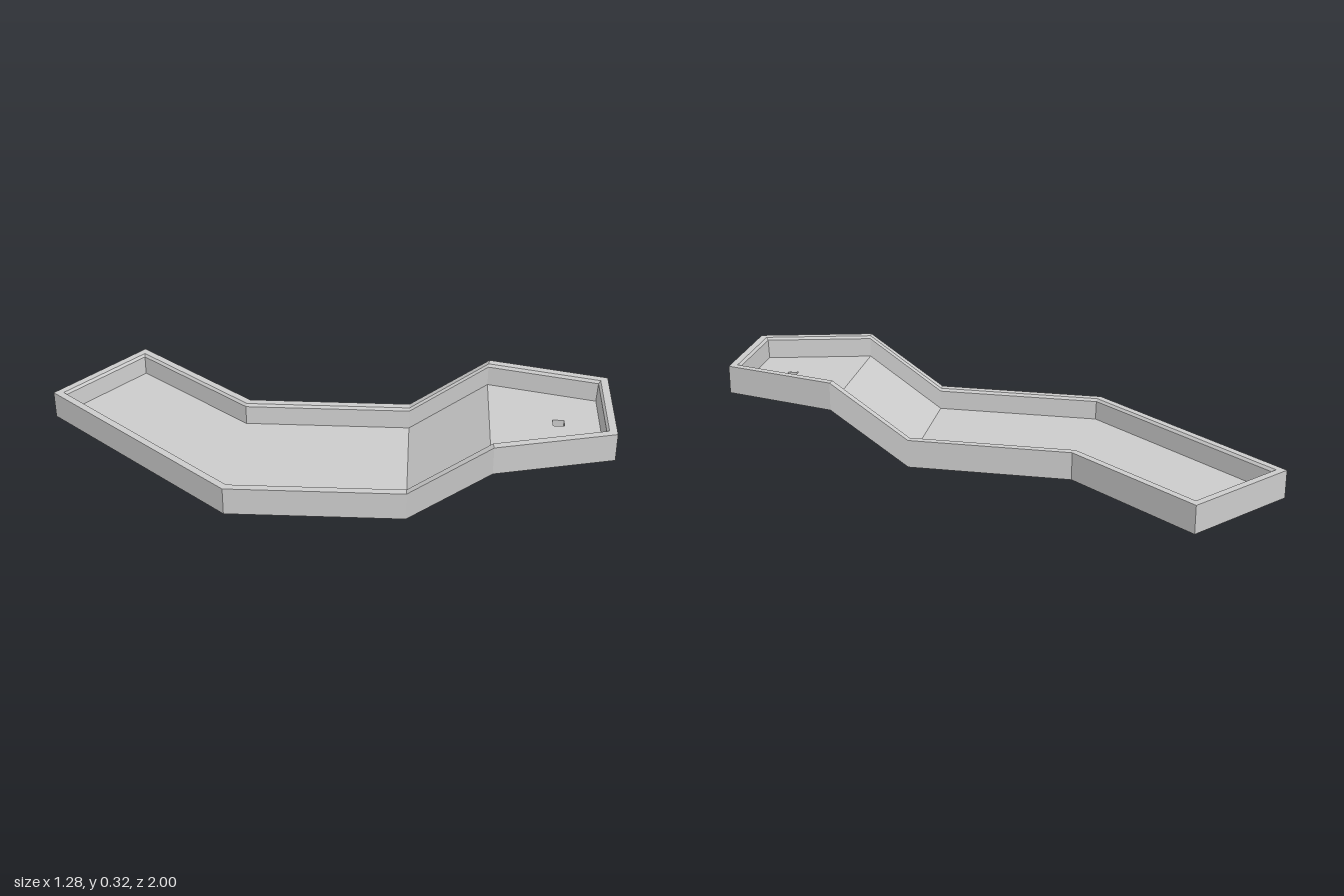
import * as THREE from 'three';

const WALL = 0.11, FLOOR = 0.025, RISE = 0.21;
// Stations along the lane: [x, z] of the two sides, base height
const stations = [
  { l: [-0.635, -1], r: [-0.155, -1], y: 0 },
  { l: [-0.643, -0.02], r: [-0.145, -0.385], y: 0 },
  { l: [-0.22, 0.49], r: [0.255, 0.10], y: 0 },
  { l: [-0.03, 0.725], r: [0.445, 0.335], y: RISE },
  { l: [0.335, 0.995], r: [0.64, 0.745], y: RISE },
];
const n = stations.length;
const outline = [
  ...stations.map(s => ({ x: s.l[0], z: s.l[1], y: s.y })),
  ...[...stations].reverse().map(s => ({ x: s.r[0], z: s.r[1], y: s.y })),
];

// Outline moved inwards by d with mitred corners, lifted by h
function ring(d, h) {
  const m = outline.length;
  const inward = (a, b) => new THREE.Vector2(b.z - a.z, a.x - b.x).normalize();
  return outline.map((p, i) => {
    const n1 = inward(outline[(i + m - 1) % m], p);
    const n2 = inward(p, outline[(i + 1) % m]);
    const k = d / (1 + n1.dot(n2));
    return new THREE.Vector3(p.x + (n1.x + n2.x) * k, p.y + h, p.z + (n1.y + n2.y) * k);
  });
}

// Separate quads, corners counter-clockwise from their front
function quads(list) {
  const pos = [];
  for (const [a, b, c, d] of list) for (const v of [a, b, c, a, c, d]) pos.push(v.x, v.y, v.z);
  const g = new THREE.BufferGeometry();
  g.setAttribute('position', new THREE.Float32BufferAttribute(pos, 3));
  g.computeVertexNormals();
  return g;
}

const square = (cx, cz, r) => [0, 1, 2, 3].map(i => {
  const a = i * Math.PI / 2 + 0.12;
  return new THREE.Vector2(cx + r * Math.cos(a), -(cz + r * Math.sin(a)));
});

export function createModel() {
  const group = new THREE.Group();
  const mat = new THREE.MeshStandardMaterial({ color: 0xcccccc, side: THREE.DoubleSide });
  const add = (name, geo) => {
    const mesh = new THREE.Mesh(geo, mat);
    mesh.name = name;
    group.add(mesh);
    return mesh;
  };

  const base = ring(0, 0), floor = ring(0.04, FLOOR);
  const rings = [base, ring(0, WALL), ring(0.028, WALL), ring(0.036, WALL - 0.01), floor];

  // Border wall: outer face, rim, small bevel, inner face
  const wall = [];
  for (let k = 0; k < rings.length - 1; k++) {
    const lo = rings[k], hi = rings[k + 1];
    lo.forEach((_, i) => {
      const j = (i + 1) % lo.length;
      wall.push([lo[i], lo[j], hi[j], hi[i]]);
    });
  }
  add('borderWall', quads(wall));

  // Lane and ramp, above and below
  const strip = (loop, i) => [loop[i], loop[i + 1], loop[2 * n - 2 - i], loop[2 * n - 1 - i]];
  const top = [], under = [];
  for (let i = 0; i < n - 2; i++) {
    top.push(strip(floor, i));
    under.push(strip(base, i).reverse());
  }
  add('laneFloor', quads(top));
  add('laneUnderside', quads(under));

  // Raised end deck, pierced by the cup
  const cup = [0.37, 0.72];
  const deck = (loop, facingUp) => {
    const shape = new THREE.Shape(strip(loop, n - 2).map(v => new THREE.Vector2(v.x, -v.z)));
    shape.holes.push(new THREE.Path(square(...cup, 0.03)));
    const g = new THREE.ShapeGeometry(shape);
    if (!facingUp) {
      const idx = g.index.array;
      for (let i = 0; i < idx.length; i += 3) [idx[i], idx[i + 1]] = [idx[i + 1], idx[i]];
      g.computeVertexNormals();
    }
    return g.rotateX(-Math.PI / 2).translate(0, loop[n - 1].y, 0);
  };
  add('deckFloor', deck(floor, true));
  add('deckUnderside', deck(base, false));

  // Square open cup sleeve, reaching below the deck
  const sleeve = new THREE.Shape(square(...cup, 0.036));
  sleeve.holes.push(new THREE.Path(square(...cup, 0.03)));
  const sleeveGeo = new THREE.ExtrudeGeometry(sleeve, { depth: 0.025 + FLOOR - 0.002, bevelEnabled: false });
  add('cupSleeve', sleeveGeo.rotateX(-Math.PI / 2).translate(0, RISE - 0.025, 0));

  return group;
}
